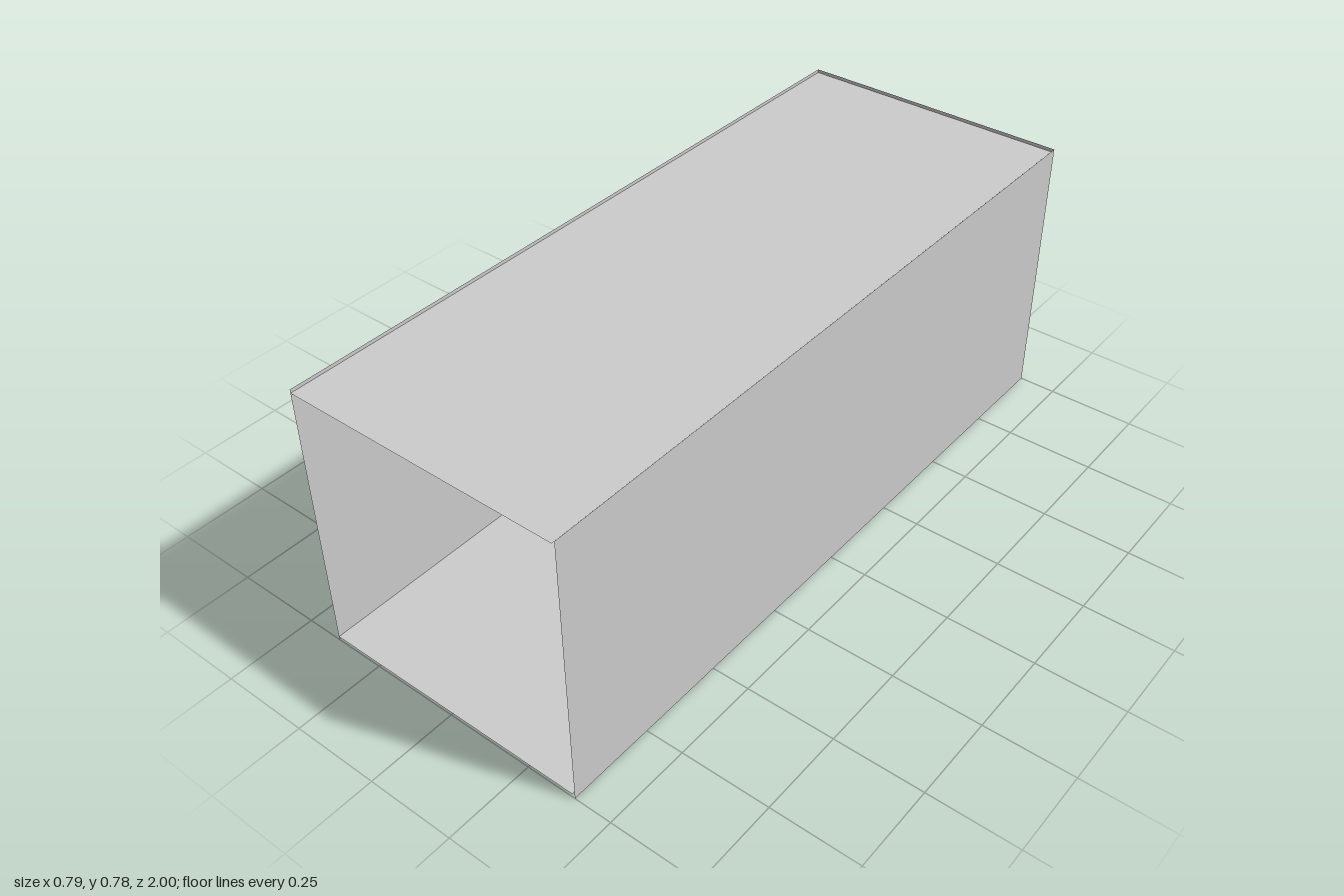
import * as THREE from 'three';

export function createModel() {
  const root = new THREE.Group();
  const grey = new THREE.MeshStandardMaterial({ color: 0xcccccc, side: THREE.DoubleSide });
  const add = (name, geometry, x, y, z, parent = root) => {
    const mesh = new THREE.Mesh(geometry, grey);
    mesh.name = name;
    mesh.position.set(x, y, z);
    parent.add(mesh);
    return mesh;
  };

  // Room shell of thin sheets, open at the front
  const W = 0.788, H = 0.78, D = 2, gap = 0.01;
  const slab = () => new THREE.PlaneGeometry(W - 0.008, D).rotateX(-Math.PI / 2);
  add('floor', slab(), -0.004, gap, 0);
  add('ceiling', slab(), -0.004, H - gap, 0);
  for (const [name, s] of [['leftWall', 1], ['rightWall', -1]]) {
    add(name, new THREE.PlaneGeometry(D, H).rotateY(s * Math.PI / 2), s * W / 2, H / 2, 0);
  }
  add('backWall', new THREE.PlaneGeometry(W, H - gap), 0, (H + gap) / 2, -D / 2);

  // Pendant lamp hanging from the ceiling
  const lamp = new THREE.Group();
  lamp.name = 'pendantLamp';
  root.add(lamp);
  add('ceilingPlate', new THREE.CylinderGeometry(0.127, 0.121, 0.01, 48), 0, 0.764, 0, lamp);
  add('lampRod', new THREE.CylinderGeometry(0.005, 0.005, 0.058, 16), 0, 0.731, 0, lamp);
  add('lampShade', new THREE.SphereGeometry(0.064, 48, 16, 0, Math.PI * 2, 0, Math.PI / 2), 0, 0.641, 0, lamp);

  return root;
}
